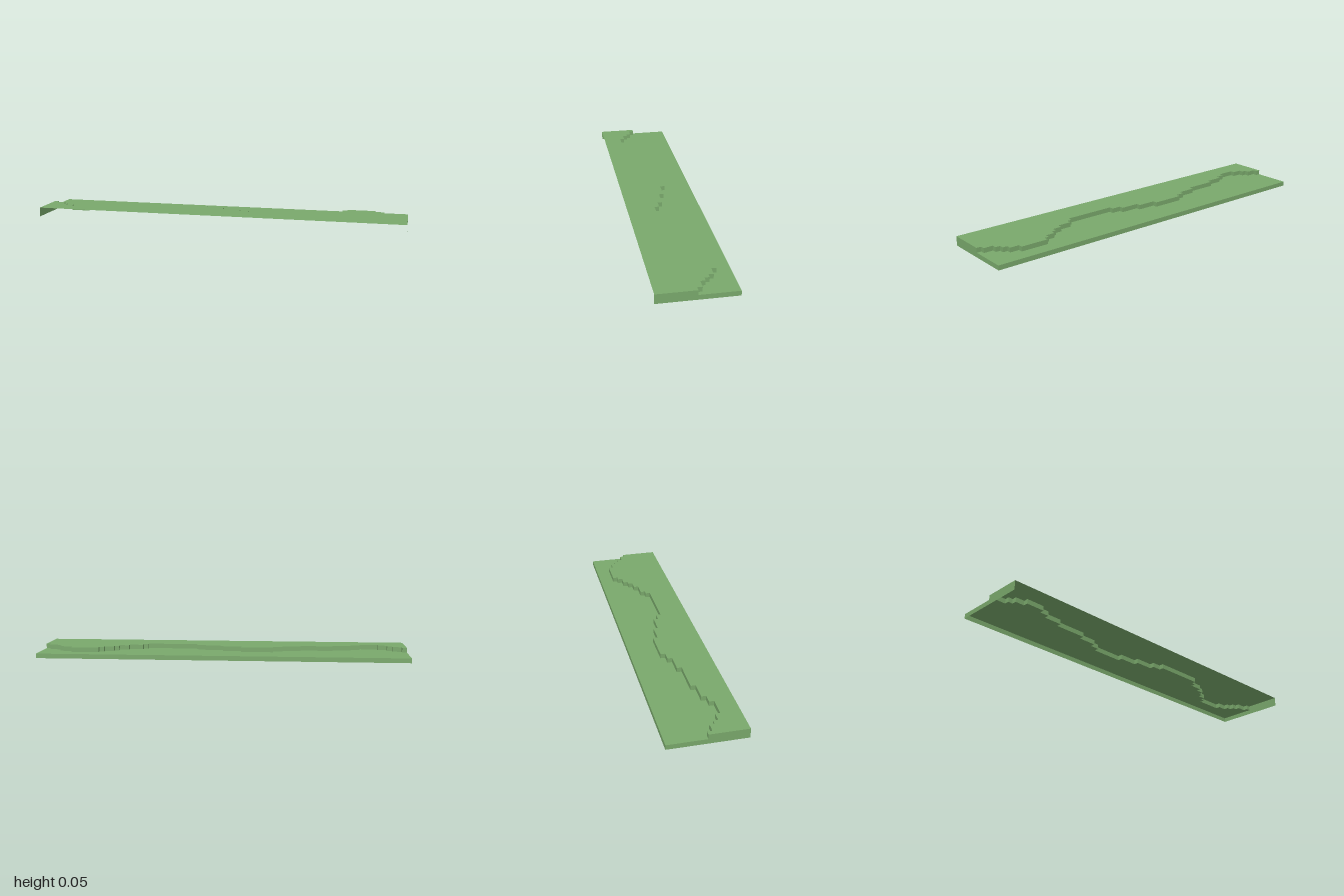
import * as THREE from 'three';

const LOW = 0.025, HIGH = 0.05, HALF = 0.2;

// Cliff line: [x where the run ends, z of the run], starting at x = -1
const runs = [
  [-0.975, 0], [-0.925, 0.025], [-0.9, 0.05], [-0.85, 0.075], [-0.75, 0.1],
  [-0.7, 0.075], [-0.6, 0.05], [-0.425, 0.025], [-0.325, 0], [-0.275, -0.025],
  [-0.1, -0.05], [0, -0.025], [0.1, 0], [0.15, 0.025], [0.425, 0.05],
  [0.45, 0.025], [0.525, 0], [0.575, -0.025], [0.6, -0.05], [0.65, -0.075],
  [0.675, -0.1], [0.825, -0.125], [0.875, -0.1], [0.9, -0.075], [0.925, -0.05],
  [0.975, -0.025], [1, 0],
];

// Stepped corners of the cliff as (x, z)
function cliffPoints() {
  const points = [];
  let x = -1;
  for (const [end, z] of runs) {
    points.push(new THREE.Vector2(x, z), new THREE.Vector2(end, z));
    x = end;
  }
  return points;
}

// Flat ground polygon given in (x, z), facing up at height y
function groundGeometry(points, y) {
  const shape = new THREE.Shape(points.map((p) => new THREE.Vector2(p.x, -p.y)));
  return new THREE.ShapeGeometry(shape).rotateX(-Math.PI / 2).translate(0, y, 0);
}

// Vertical strip of separate quads along the cliff line
function cliffGeometry(points) {
  const positions = [];
  for (let i = 0; i < points.length - 1; i++) {
    const a = points[i], b = points[i + 1];
    positions.push(
      a.x, LOW, a.y, a.x, HIGH, a.y, b.x, HIGH, b.y,
      a.x, LOW, a.y, b.x, HIGH, b.y, b.x, LOW, b.y,
    );
  }
  const geometry = new THREE.BufferGeometry();
  geometry.setAttribute('position', new THREE.Float32BufferAttribute(positions, 3));
  geometry.computeVertexNormals();
  return geometry;
}

// Stepped end wall facing outwards on the given side
function endGeometry(side) {
  const outline = [[HALF, 0], [HALF, HIGH], [0, HIGH], [0, LOW], [-HALF, LOW], [-HALF, 0]];
  const shape = new THREE.Shape(outline.map(([z, y]) => new THREE.Vector2(-side * z, y)));
  return new THREE.ShapeGeometry(shape).rotateY(side * Math.PI / 2).translate(side, 0, 0);
}

export function createModel() {
  const group = new THREE.Group();
  group.name = 'terrainStrip';
  const grass = new THREE.MeshStandardMaterial({ color: 0x79a86b, side: THREE.DoubleSide });
  grass.name = 'grass green';

  const add = (name, geometry) => {
    const mesh = new THREE.Mesh(geometry, grass);
    mesh.name = name;
    group.add(mesh);
  };

  const cliff = cliffPoints();
  const corner = (x, z) => new THREE.Vector2(x, z);

  // Two ground levels joined by the stepped cliff
  add('upperGround', groundGeometry([...cliff, corner(1, HALF), corner(-1, HALF)], HIGH));
  add('lowerGround', groundGeometry([...cliff, corner(1, -HALF), corner(-1, -HALF)], LOW));
  add('cliff', cliffGeometry(cliff));

  // Outer walls; the front and the underside stay open
  add('backWall', new THREE.PlaneGeometry(2, LOW).rotateY(Math.PI).translate(0, LOW / 2, -HALF));
  add('leftEndWall', endGeometry(1));
  add('rightEndWall', endGeometry(-1));

  return group;
}
